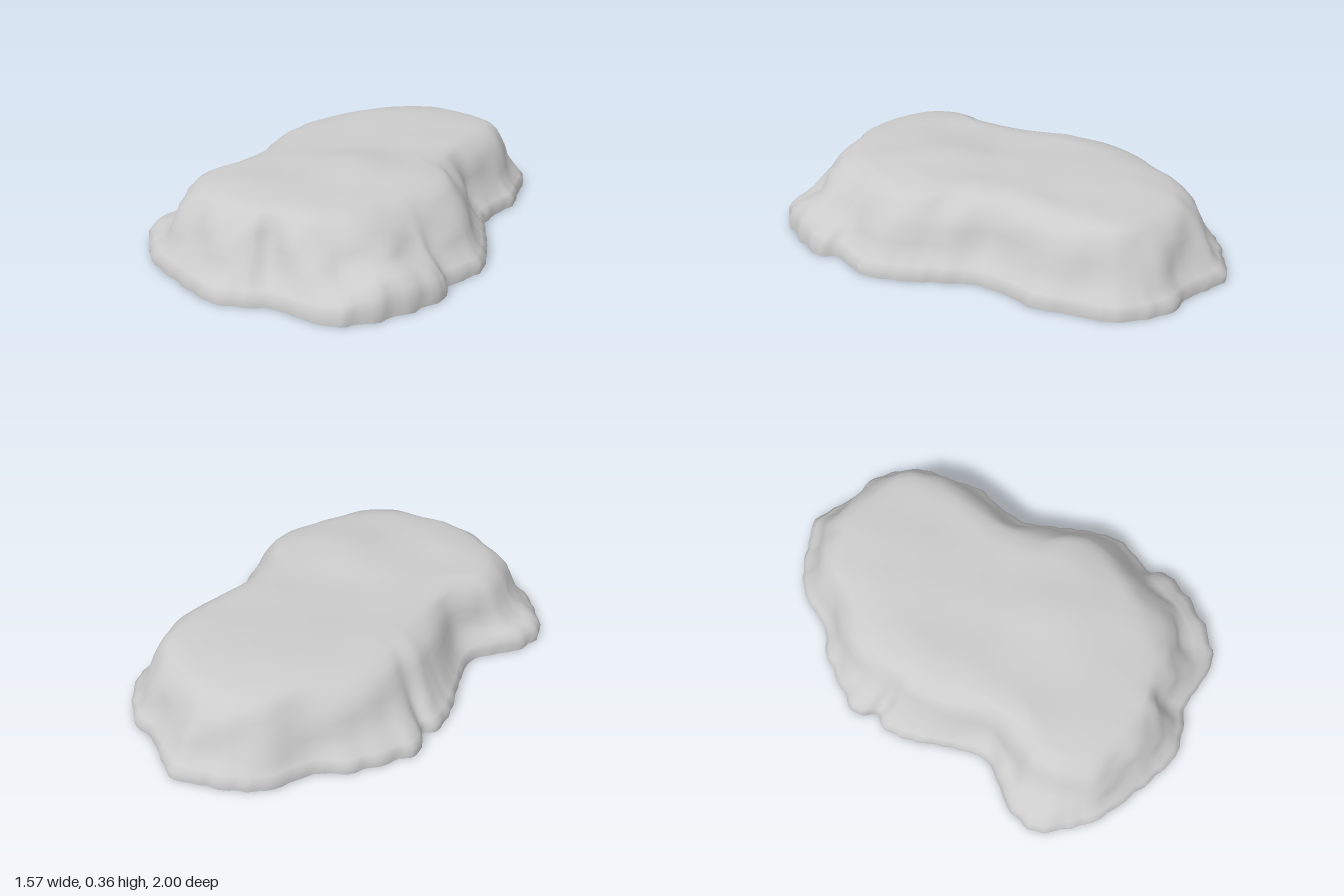
import * as THREE from 'three';

// Ground outline and plateau rim as matching [x, z] pairs, running from the back round by +x
const GROUND = [
  [-0.35, -1], [-0.14, -0.98], [0, -1], [0.13, -0.95], [0.22, -0.89], [0.3, -0.75], [0.38, -0.6], [0.39, -0.47],
  [0.43, -0.33], [0.53, -0.22], [0.64, -0.1], [0.73, 0.06], [0.72, 0.24], [0.78, 0.33], [0.75, 0.55], [0.68, 0.73],
  [0.58, 0.8], [0.4, 0.84], [0.33, 0.9], [0.2, 0.98], [0.05, 0.99], [-0.23, 0.97], [-0.35, 0.92], [-0.48, 0.84],
  [-0.52, 0.7], [-0.48, 0.56], [-0.46, 0.44], [-0.56, 0.28], [-0.66, 0.16], [-0.72, 0.05], [-0.71, -0.03],
  [-0.78, -0.1], [-0.76, -0.24], [-0.72, -0.4], [-0.65, -0.52], [-0.62, -0.72], [-0.54, -0.84], [-0.45, -0.92],
];
const RIM = [
  [-0.27, -0.76], [-0.14, -0.78], [-0.01, -0.78], [0.06, -0.76], [0.11, -0.72], [0.15, -0.65], [0.18, -0.57], [0.21, -0.45],
  [0.25, -0.28], [0.33, -0.13], [0.43, -0.05], [0.48, 0.06], [0.49, 0.22], [0.48, 0.32], [0.44, 0.48], [0.38, 0.58],
  [0.32, 0.64], [0.26, 0.68], [0.19, 0.73], [0.12, 0.75], [0.02, 0.77], [-0.11, 0.76], [-0.19, 0.73], [-0.25, 0.67],
  [-0.28, 0.6], [-0.28, 0.5], [-0.31, 0.36], [-0.36, 0.22], [-0.43, 0.1], [-0.47, 0.04], [-0.49, -0.03],
  [-0.51, -0.1], [-0.52, -0.22], [-0.51, -0.36], [-0.48, -0.48], [-0.44, -0.59], [-0.38, -0.67], [-0.33, -0.72],
];

// Wall profiles as [inset from ground to rim, height]: flared foot with a rounded shoulder, and low ledge
const SLOPE = [[0, 0], [0, 0.04], [0.1, 0.06], [0.24, 0.092], [0.36, 0.14], [0.47, 0.195], [0.59, 0.243], [0.72, 0.28], [0.86, 0.305], [1, 0.32]];
const LEDGE = [[0, 0], [0, 0.05], [0.06, 0.09], [0.18, 0.12], [0.34, 0.133], [0.47, 0.155], [0.57, 0.2], [0.68, 0.25], [0.83, 0.297], [1, 0.32]];

const { lerp, smoothstep } = THREE.MathUtils;
const closedCurve = (pts) =>
  new THREE.CatmullRomCurve3(pts.map(([x, z]) => new THREE.Vector3(x, 0, z)), true, 'catmullrom', 0.5);
const bump = (x, z, cx, cz, r) => Math.exp(-((x - cx) ** 2 + (z - cz) ** 2) / (r * r));
const ledgeAmount = (x, z) => Math.min(1,
  1.8 * bump(x, z, 0.75, 0.53, 0.25) + 1.3 * bump(x, z, -0.51, 0.72, 0.2) + 0.5 * bump(x, z, -0.78, -0.12, 0.12));

// Broad lumps for the walls, fine chips for the ground edge
const lumps = (x, y, z) =>
  Math.sin(11 * x + 4 * z + 16 * y) * Math.sin(9 * z - 5 * x - 12 * y) + 0.6 * Math.sin(19 * x - 24 * y) * Math.sin(17 * z + 26 * y);
const chips = (x, z) => Math.sin(47 * x + 13 * z) * Math.sin(43 * z - 9 * x) + 0.5 * Math.sin(71 * x) * Math.cos(67 * z);

// Plateau relief: two gentle swells with a shallow saddle between
const plateau = (x, z) => 0.336 + 0.027 * bump(x, z, 0.17, 0.2, 0.2) + 0.016 * bump(x, z, -0.25, -0.4, 0.25)
  + 0.008 * bump(x, z, 0, 0.64, 0.14) + 0.003 * lumps(x, 0, z);

function shellGeometry() {
  const around = GROUND.length * 6, topRings = 16;
  const ground = closedCurve(GROUND), rim = closedCurve(RIM);
  const rings = SLOPE.length + topRings;
  const positions = [], indices = [];
  for (let j = 0; j < rings; j++) {
    for (let i = 0; i < around; i++) {
      const g = ground.getPoint(i / around), r = rim.getPoint(i / around);
      let x, y, z;
      if (j < SLOPE.length) {
        // Rugged side wall, its right-hand ledge highest at mid length
        const w = ledgeAmount(g.x, g.z);
        const inset = lerp(SLOPE[j][0], LEDGE[j][0], w);
        const lobe = lerp(0.75, 1.15, bump(g.x, g.z, 0.76, 0.5, 0.2));
        const ledgeY = LEDGE[j][1] * lerp(lobe, 1, smoothstep(inset, 0.4, 0.75));
        y = lerp(SLOPE[j][1], ledgeY, w);
        // Cracks where the ledges and the two halves of the rock meet
        const crack = 0.14 * bump(g.x, g.z, 0.37, 0.87, 0.05) + 0.1 * bump(g.x, g.z, -0.46, 0.44, 0.07)
          + 0.1 * bump(g.x, g.z, 0.43, -0.33, 0.08);
        const shift = (0.06 * lumps(g.x, y, g.z) + crack) * Math.sin(Math.PI * inset)
          + 0.025 * chips(g.x, g.z) * (1 - inset) ** 3;
        x = lerp(g.x, r.x, inset + shift);
        z = lerp(g.z, r.z, inset + shift);
      } else {
        // Rounded shoulder, then the flat top closing towards the middle
        const k = (j - SLOPE.length + 1) / topRings;
        x = lerp(r.x, -0.02, k);
        z = lerp(r.z, 0, k);
        y = lerp(0.32, plateau(x, z), 1 - Math.max(0, 1 - k * 3.5) ** 2);
      }
      positions.push(x, y, z);
    }
  }
  for (let j = 0; j < rings - 1; j++) {
    for (let i = 0; i < around; i++) {
      const a = j * around + i, b = j * around + (i + 1) % around;
      const c = a + around, d = b + around;
      indices.push(a, c, b);
      if (j < rings - 2) indices.push(b, c, d);
    }
  }
  const geometry = new THREE.BufferGeometry();
  geometry.setAttribute('position', new THREE.Float32BufferAttribute(positions, 3));
  geometry.setIndex(indices);
  geometry.computeVertexNormals();
  // The innermost ring is a single point, so its normals simply face up
  for (let i = (rings - 1) * around; i < rings * around; i++) geometry.attributes.normal.setXYZ(i, 0, 1, 0);
  return geometry;
}

export function createModel() {
  const model = new THREE.Group();
  model.name = 'flatRock';
  // Hollow rock shell, open underneath
  const shell = new THREE.Mesh(
    shellGeometry(),
    new THREE.MeshStandardMaterial({ color: 0xcccccc, side: THREE.DoubleSide }),
  );
  shell.name = 'rockShell';
  model.add(shell);
  return model;
}
